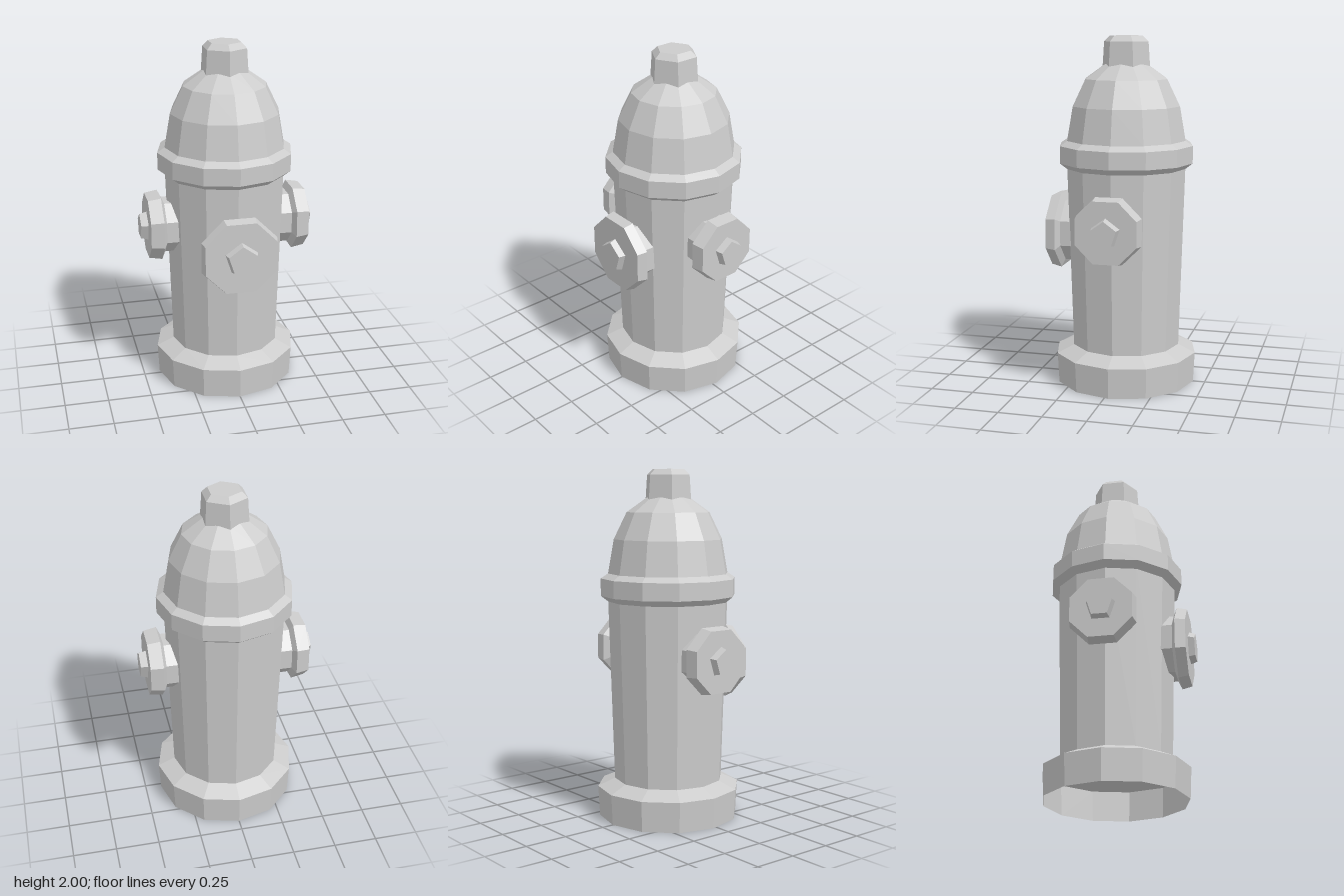
import * as THREE from 'three';

const AXIS_Z = -0.025; // centre of the barrel
const material = new THREE.MeshStandardMaterial({
  color: 0xcccccc, flatShading: true, side: THREE.DoubleSide,
});

// Faceted turned part from [radius, height] pairs
function turned(name, profile, sides, phiStart = 0) {
  const points = profile.map(([r, y]) => new THREE.Vector2(r, y));
  const mesh = new THREE.Mesh(new THREE.LatheGeometry(points, sides, phiStart), material);
  mesh.name = name;
  return mesh;
}

// Outlet pointing along +z: octagonal neck and cap with a pentagonal nut.
// half = half width across the flats, neck = same for the neck
function outlet(name, { start, back, face, tip, half, neck, nut }) {
  const group = new THREE.Group();
  group.name = name;
  const k = 1 / Math.cos(Math.PI / 8);
  const cap = turned('outletCap', [
    [neck * k, start], [neck * k, back - 0.02], [half * k, back],
    [(half - 0.012) * k, face], [0, face],
  ], 8, Math.PI / 8);
  const bolt = turned('outletNut', [
    [nut, face - 0.01], [nut * 0.84, tip], [0, tip],
  ], 5, Math.PI);
  for (const part of [cap, bolt]) {
    part.rotation.x = Math.PI / 2;
    group.add(part);
  }
  return group;
}

export function createModel() {
  const model = new THREE.Group();
  model.name = 'fireHydrant';

  // Stack of the twelve-sided column, open underneath
  const column = [
    turned('base', [[0.405, 0], [0.414, 0.175], [0.315, 0.22]], 12),
    turned('barrel', [[0.315, 0.22], [0.346, 1.255]], 12),
    turned('collar', [[0.346, 1.255], [0.388, 1.288], [0.388, 1.387], [0.346, 1.415]], 12),
    turned('dome', [[0.346, 1.415], [0.312, 1.608], [0.238, 1.76], [0.122, 1.842], [0, 1.865]], 12),
    turned('topNut', [[0.139, 1.82], [0.129, 1.968], [0.096, 2], [0, 2]], 6),
  ];
  for (const part of column) {
    part.position.z = AXIS_Z;
    model.add(part);
  }

  // Large front outlet
  const front = outlet('frontOutlet', {
    start: 0.2, back: 0.342, face: 0.4, tip: 0.435, half: 0.215, neck: 0.172, nut: 0.1,
  });
  front.position.y = 0.88;
  model.add(front);

  // Smaller outlets on both sides
  for (const side of [1, -1]) {
    const outletSide = outlet(side > 0 ? 'leftOutlet' : 'rightOutlet', {
      start: 0.25, back: 0.385, face: 0.459, tip: 0.5, half: 0.185, neck: 0.146, nut: 0.087,
    });
    outletSide.rotation.y = side * Math.PI / 2;
    outletSide.position.set(0, 0.955, AXIS_Z);
    model.add(outletSide);
  }
  return model;
}
